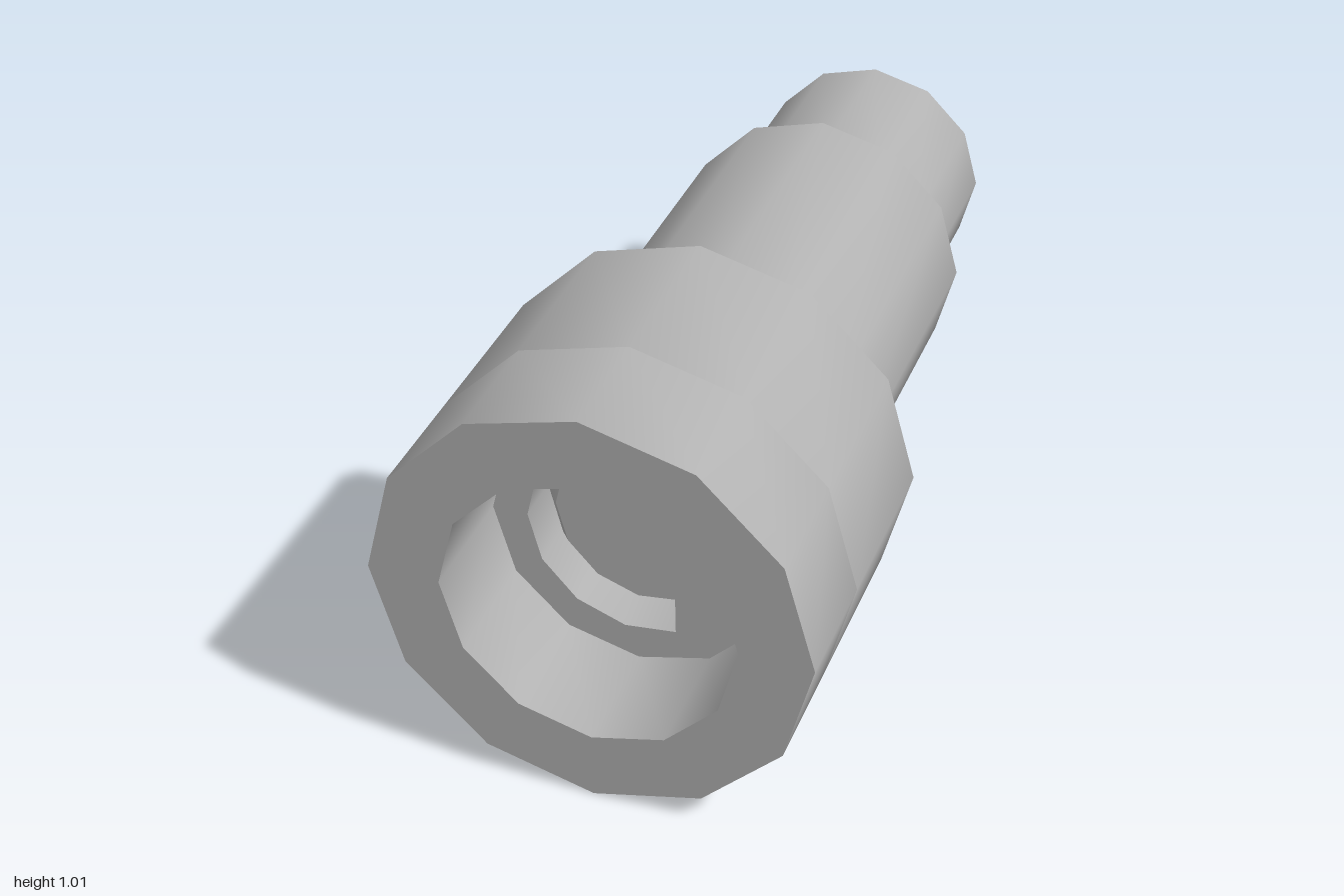
import * as THREE from 'three';
import { toCreasedNormals } from 'three/addons/utils/BufferGeometryUtils.js';

const CY = 0.507; // height of the common axis
const CREASE = 0.6;

// Regular 12-sided outline with a corner at the top
function dodecagon(r) {
  return Array.from({ length: 12 }, (_, i) => {
    const a = (i * Math.PI) / 6;
    return new THREE.Vector2(r * Math.cos(a), r * Math.sin(a));
  });
}

// Circle of 8 arc segments cut by a flat at x = flat
function dOutline(r, flat) {
  const start = Math.acos(flat / r);
  return Array.from({ length: 9 }, (_, i) => {
    const a = start + ((2 * Math.PI - 2 * start) * i) / 8;
    return new THREE.Vector2(r * Math.cos(a), r * Math.sin(a));
  });
}

// Prism between two z values, with an optional hole
function prism(outline, z0, z1, hole) {
  const shape = new THREE.Shape(outline);
  if (hole) shape.holes.push(new THREE.Path(hole));
  const geo = new THREE.ExtrudeGeometry(shape, { depth: z1 - z0, bevelEnabled: false });
  geo.translate(0, 0, z0);
  return toCreasedNormals(geo, CREASE);
}

// Skin joining outlines at rising z, closed by a front cap
function loft(sections) {
  const n = sections[0].points.length;
  const pos = [];
  const index = [];
  sections.forEach(({ points, z }) => points.forEach((p) => pos.push(p.x, p.y, z)));
  for (let s = 0; s < sections.length - 1; s++) {
    for (let i = 0; i < n; i++) {
      const a = s * n + i;
      const b = s * n + ((i + 1) % n);
      index.push(a, b, b + n, a, b + n, a + n);
    }
  }
  const last = (sections.length - 1) * n;
  for (let i = 1; i < n - 1; i++) index.push(last, last + i, last + i + 1);
  const geo = new THREE.BufferGeometry();
  geo.setAttribute('position', new THREE.Float32BufferAttribute(pos, 3));
  geo.setIndex(index);
  return toCreasedNormals(geo, CREASE);
}

export function createModel() {
  const group = new THREE.Group();
  group.name = 'keyedShaftAndCollar';
  const gray = new THREE.MeshStandardMaterial({ color: 0xb2b2b2 });
  gray.name = 'gray';

  function add(name, geo) {
    const mesh = new THREE.Mesh(geo, gray);
    mesh.name = name;
    mesh.position.y = CY;
    group.add(mesh);
  }

  // Collar: open cup in front, D-shaped bore behind
  add('collarCup', prism(dodecagon(0.507), 0.72, 1, dodecagon(0.34)));
  add('collarBase', prism(dodecagon(0.507), 0.303, 0.72, dOutline(0.257, 0.09)));

  // Stepped shaft
  add('shaftBody', prism(dodecagon(0.363), -0.555, 0.29));
  add('shaftEnd', prism(dodecagon(0.29), -1, -0.555));

  // D-shaped key with a chamfered tip, sitting loosely in the bore
  add('shaftKey', loft([
    { points: dOutline(0.247, 0.08), z: 0.29 },
    { points: dOutline(0.247, 0.08), z: 0.62 },
    { points: dOutline(0.215, 0.08), z: 0.66 },
  ]));

  return group;
}
